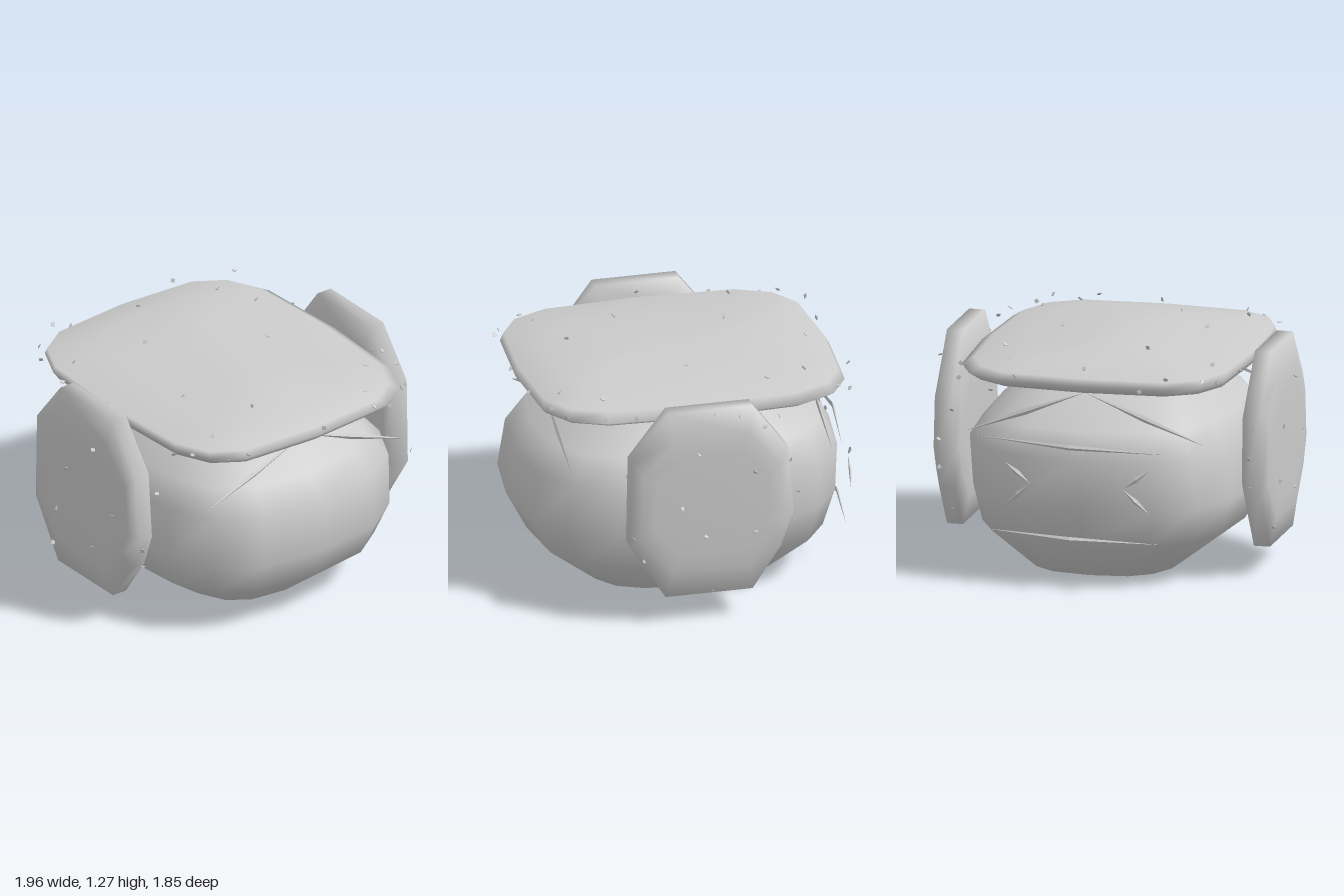
import * as THREE from 'three';

const stone = new THREE.MeshStandardMaterial({ color: 0xcccccc, side: THREE.DoubleSide });

// Unit superellipse outline as [u, v] pairs
function roundedOutline(count, power) {
  return Array.from({ length: count }, (_, i) => {
    const a = (i / count) * Math.PI * 2;
    const f = (t) => Math.sign(t) * Math.abs(t) ** (2 / power);
    return [f(Math.cos(a)), f(Math.sin(a))];
  });
}

// Stacks scaled copies of an outline along y; rings are [y, scaleX, scaleZ, offsetX, offsetZ]
function loft(outline, rings) {
  const n = outline.length, pos = [], index = [];
  for (const [y, sx, sz, ox = 0, oz = 0] of rings)
    for (const [u, v] of outline) pos.push(u * sx + ox, y, v * sz + oz);
  for (let r = 0; r < rings.length - 1; r++)
    for (let i = 0; i < n; i++) {
      const a = r * n + i, b = r * n + (i + 1) % n;
      index.push(a, a + n, b, b, a + n, b + n);
    }
  // end caps
  const start = (rings.length - 1) * n;
  for (const [y, , , ox = 0, oz = 0] of [rings[0], rings[rings.length - 1]]) pos.push(ox, y, oz);
  const bottom = rings.length * n, top = bottom + 1;
  for (let i = 0; i < n; i++) {
    const j = (i + 1) % n;
    index.push(bottom, i, j, top, start + j, start + i);
  }
  const g = new THREE.BufferGeometry();
  g.setAttribute('position', new THREE.Float32BufferAttribute(pos, 3));
  g.setIndex(index);
  g.computeVertexNormals();
  return g;
}

// Thin pointed splinter from a to b with a wider, raised middle
function splinter(a, b, width, bulge = 0) {
  const A = new THREE.Vector3(...a), B = new THREE.Vector3(...b);
  const mid = A.clone().lerp(B, 0.5);
  mid.z += bulge;
  const side = B.clone().sub(A).cross(new THREE.Vector3(0, 0, 1)).normalize().multiplyScalar(width / 2);
  const out = mid.clone();
  out.z += Math.sign(mid.z) * 0.012;
  const g = new THREE.BufferGeometry().setFromPoints([A, mid.clone().add(side), B, mid.clone().sub(side), out]);
  g.setIndex([0, 1, 4, 1, 2, 4, 2, 3, 4, 3, 0, 4, 0, 3, 1, 1, 3, 2]);
  const flat = g.toNonIndexed();
  flat.computeVertexNormals();
  return flat;
}

export function createModel() {
  const group = new THREE.Group();
  const add = (name, geometry, parent = group) => {
    const m = new THREE.Mesh(geometry, stone);
    m.name = name;
    parent.add(m);
    return m;
  };

  // Main boulder, slightly lopsided
  add('body', loft(roundedOutline(16, 2.8), [
    [0, 0.2, 0.25, 0.03], [0, 0.42, 0.52, 0.03], [0.24, 0.705, 0.81, 0, 0.01],
    [0.45, 0.772, 0.9, -0.018, 0.03], [0.73, 0.757, 0.885, 0.012, 0.01],
    [0.87, 0.66, 0.79, -0.01], [1.07, 0.43, 0.42], [1.1, 0.2, 0.2],
  ]));

  // Flat cap stone with a rounded rim, a little thinner toward its left
  add('topSlab', loft(roundedOutline(16, 4), [
    [1.04, 0.12, 0.28, 0.03], [1.065, 0.36, 0.58], [1.11, 0.725, 0.85, -0.02],
    [1.15, 0.772, 0.882], [1.19, 0.735, 0.86, -0.03], [1.222, 0.46, 0.68],
    [1.25, 0.2, 0.48, -0.02], [1.257, 0.06, 0.25],
  ]));

  // Upright side stones: outline is [height, depth], laid on its side
  const sideOutline = [
    [0.55, -0.22], [0.28, -0.42], [-0.10, -0.45], [-0.30, -0.38],
    [-0.54, -0.22], [-0.54, 0.27], [-0.22, 0.47], [0.28, 0.46], [0.55, 0.25],
  ];
  const sideGeo = loft(sideOutline, [
    [-0.085, 0.52, 0.72], [-0.075, 0.72, 0.87], [-0.045, 1, 1],
    [0.045, 1, 1], [0.075, 0.72, 0.87], [0.085, 0.52, 0.72],
  ]);
  sideGeo.rotateZ(Math.PI / 2);
  add('leftSlab', sideGeo).position.set(0.868, 0.7, 0);
  const right = add('rightSlab', sideGeo);
  right.position.set(-0.875, 0.7, 0);
  right.rotation.y = Math.PI;

  // Splinters sloping from under the cap stone, front and back
  for (const z of [0.73, -0.73])
    for (const s of [1, -1])
      add('upperSplinter', splinter([0, 1.08, z], [s * 0.68, 0.82, z], 0.035));

  // Cracks on the back: brow, mouth and a pair of chevrons
  add('browCrack', splinter([-0.5, 0.79, -0.85], [0.6, 0.82, -0.8], 0.03, -0.06));
  add('mouthCrack', splinter([-0.46, 0.28, -0.84], [0.54, 0.31, -0.84], 0.03, -0.07));
  for (const s of [1, -1])
    for (const y of [0.71, 0.46])
      add('chevronCrack', splinter([s * 0.26, 0.6, -0.92], [s * 0.41, y, -0.9], 0.03));

  // Tiny chips floating just off the three slabs, mostly around their rims
  let seed = 7;
  const rnd = () => (seed = (seed * 16807) % 2147483647) / 2147483647;
  const chipGeo = new THREE.CylinderGeometry(0.015, 0.015, 0.004, 4);
  const chips = new THREE.Group();
  chips.name = 'chips';
  group.add(chips);
  const addChip = (x, y, z) => {
    const c = add('chip', chipGeo, chips);
    c.position.set(x, y, z);
    c.rotation.set(rnd() * 3, rnd() * 3, rnd() * 3);
  };
  const rim = roundedOutline(32, 4);
  for (const [i, [u, v]] of rim.entries()) {
    const onTop = i % 3 === 0;
    const r = onTop ? 0.4 + rnd() * 0.5 : 1.02;
    addChip(u * 0.78 * r, onTop ? 1.27 - r * r * 0.07 : 1.09 + rnd() * 0.13, v * 0.89 * r);
  }
  for (const s of [1, -1])
    for (let i = 0; i < 20; i++) {
      const a = (i / 20) * Math.PI * 2, onFace = i % 4 === 0;
      const r = onFace ? 0.3 + rnd() * 0.4 : 1.05;
      const x = onFace ? 0.965 : 0.87 + (rnd() - 0.5) * 0.16;
      addChip(s * x, 0.7 + Math.sin(a) * 0.5 * r, Math.cos(a) * 0.46 * r);
    }
  return group;
}
